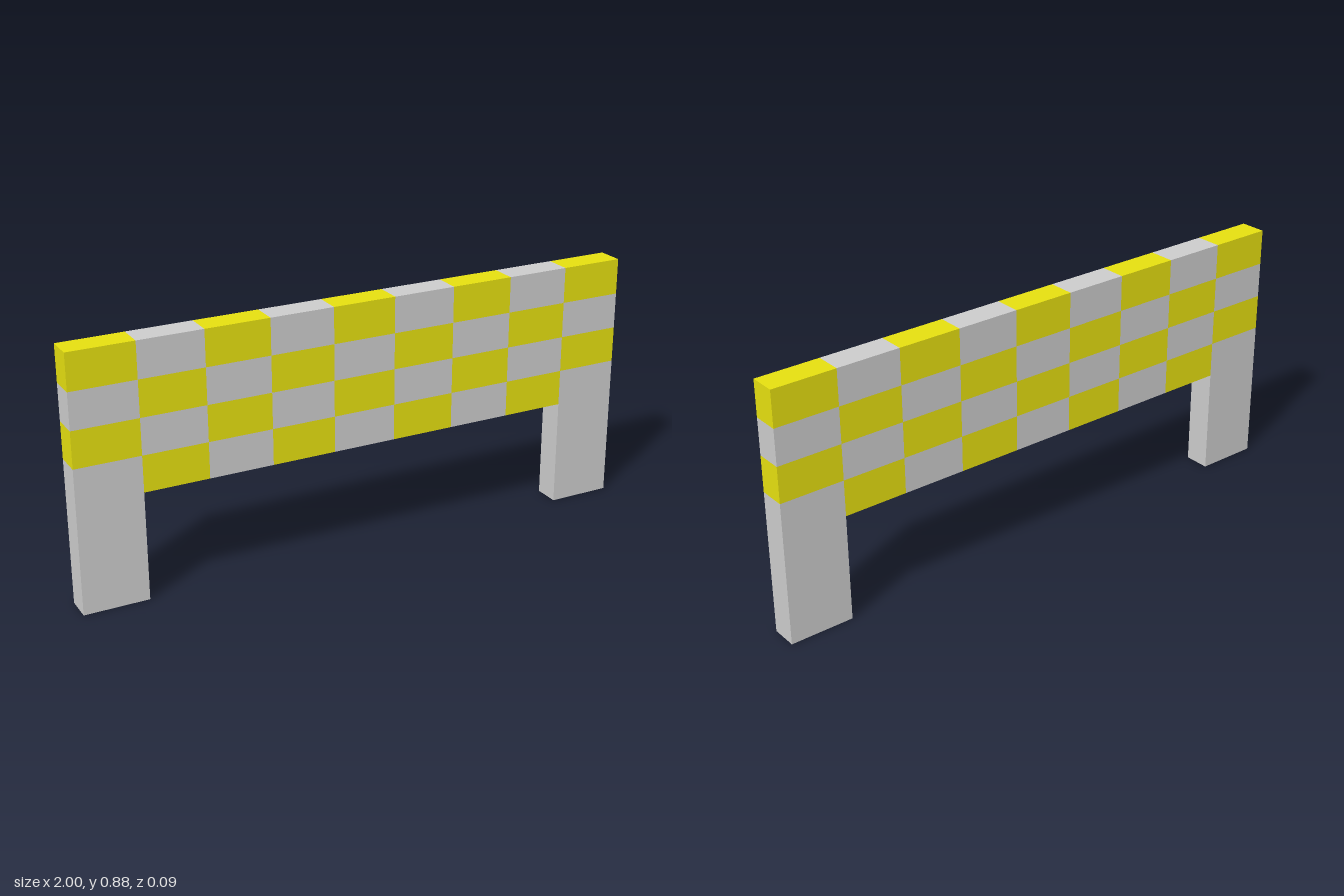
import * as THREE from 'three';

const COLS = 9, ROWS = 4;
const TILE_W = 2 / COLS, TILE_H = 0.125, DEPTH = 0.092, TOP = 0.875;

export function createModel() {
  const model = new THREE.Group();
  model.name = 'checkeredBarrier';

  const grey = new THREE.MeshStandardMaterial({ color: 0xcccccc });
  const yellow = new THREE.MeshStandardMaterial({ color: 0xe5df10 });
  const columnX = (col) => (col - (COLS - 1) / 2) * TILE_W;

  function addBlock(parent, name, material, height, x, y) {
    const block = new THREE.Mesh(new THREE.BoxGeometry(TILE_W, height, DEPTH), material);
    block.name = name;
    block.position.set(x, y, 0);
    parent.add(block);
  }

  // Checkered board: yellow in the top corners, alternating with grey
  const board = new THREE.Group();
  board.name = 'board';
  model.add(board);
  for (let row = 0; row < ROWS; row++) {
    for (let col = 0; col < COLS; col++) {
      // The legs fill the bottom corners
      if (row === ROWS - 1 && (col === 0 || col === COLS - 1)) continue;
      const isYellow = (row + col) % 2 === 0;
      addBlock(board, isYellow ? 'yellowTile' : 'greyTile', isYellow ? yellow : grey,
        TILE_H, columnX(col), TOP - (row + 0.5) * TILE_H);
    }
  }

  // Legs rise from the ground through the bottom row of the board
  const legHeight = TOP - (ROWS - 1) * TILE_H;
  addBlock(model, 'rightLeg', grey, legHeight, columnX(0), legHeight / 2);
  addBlock(model, 'leftLeg', grey, legHeight, columnX(COLS - 1), legHeight / 2);

  return model;
}
